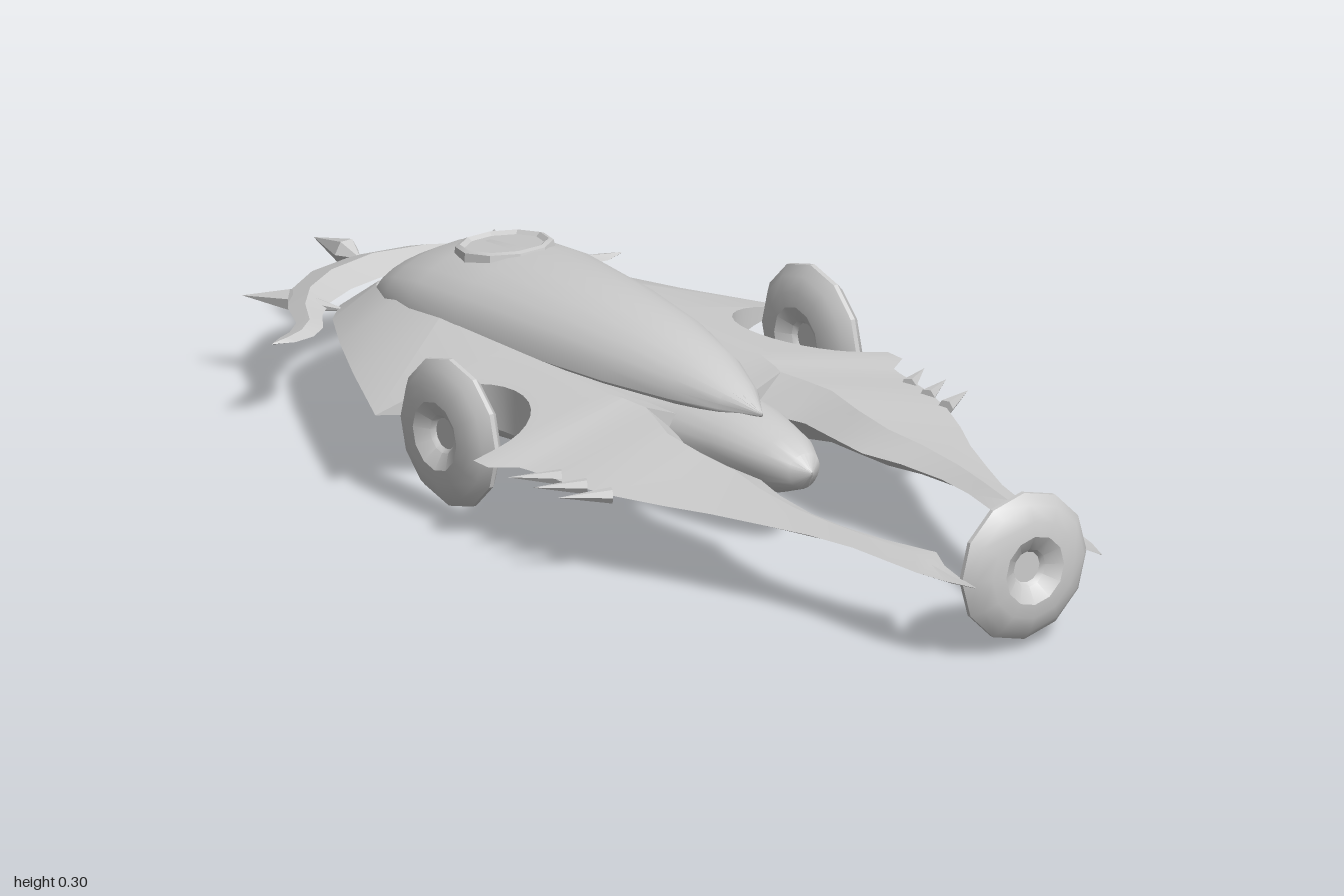
import * as THREE from 'three';
import { toCreasedNormals } from 'three/addons/utils/BufferGeometryUtils.js';

const Y = 0.148; // height of the sharp hull edge
const grey = new THREE.MeshStandardMaterial({ color: 0xcccccc, side: THREE.DoubleSide });

// Skin a row of closed rings, each an array of [x, y, z]
function loft(rings, crease = 0.6) {
  const n = rings[0].length, index = [];
  for (let s = 0; s < rings.length - 1; s++) {
    for (let i = 0; i < n; i++) {
      const j = (i + 1) % n, a = s * n, b = a + n;
      index.push(a + i, b + i, a + j, b + i, b + j, a + j);
    }
  }
  const geo = new THREE.BufferGeometry();
  geo.setAttribute('position', new THREE.Float32BufferAttribute(rings.flat(2), 3));
  geo.setIndex(index);
  return toCreasedNormals(geo, crease);
}

function add(parent, name, geo) {
  const mesh = new THREE.Mesh(geo, grey);
  mesh.name = name;
  parent.add(mesh);
  return mesh;
}

// Oval ring at x: half width, top, bottom and the height of its widest line
function oval(x, hw, top, bottom, mid, n = 24) {
  return Array.from({ length: n }, (_, i) => {
    const a = (i / n) * Math.PI * 2, s = Math.sin(a);
    return [x, mid + s * (s > 0 ? top - mid : mid - bottom), hw * Math.cos(a)];
  });
}

function spike(parent, name, from, to, radius) {
  const a = new THREE.Vector3(...from), b = new THREE.Vector3(...to);
  const dir = b.clone().sub(a);
  const mesh = add(parent, name, toCreasedNormals(new THREE.ConeGeometry(radius, dir.length(), 6), 0.6));
  mesh.position.copy(a).add(b).multiplyScalar(0.5);
  mesh.quaternion.setFromUnitVectors(new THREE.Vector3(0, 1, 0), dir.normalize());
  return mesh;
}

// Half of the flat hull with its forward prong
function wingGeometry() {
  // x, inner z, ridge z, outer z, rise, drop
  const rear = [
    [-0.76, 0, 0, 0.002, 0.005, 0.005], [-0.748, 0, 0.03, 0.08, 0.012, 0.01],
    [-0.715, 0, 0.08, 0.16, 0.025, 0.02], [-0.67, 0, 0.12, 0.21, 0.04, 0.035],
    [-0.57, 0, 0.15, 0.27, 0.055, 0.05], [-0.44, 0, 0.16, 0.34, 0.06, 0.055],
    [-0.26, 0, 0.16, 0.43, 0.06, 0.055],
  ];
  const front = [
    [0.01, 0, 0.16, 0.43, 0.06, 0.055], [0.05, 0, 0.15, 0.43, 0.06, 0.055],
    [0.08, 0, 0.145, 0.39, 0.058, 0.053], [0.1, 0, 0.14, 0.385, 0.056, 0.052],
    [0.1, 0.08, 0.14, 0.385, 0.056, 0.052], [0.15, 0.1, 0.155, 0.378, 0.052, 0.05],
    [0.2, 0.115, 0.17, 0.37, 0.046, 0.045], [0.28, 0.11, 0.165, 0.348, 0.036, 0.04],
    [0.37, 0.105, 0.16, 0.31, 0.03, 0.034], [0.45, 0.125, 0.17, 0.27, 0.024, 0.028],
    [0.55, 0.135, 0.17, 0.23, 0.018, 0.022], [0.63, 0.13, 0.16, 0.2, 0.015, 0.018],
    [0.72, 0.112, 0.145, 0.178, 0.012, 0.014], [0.82, 0.08, 0.125, 0.17, 0.01, 0.012],
    [0.88, 0.108, 0.135, 0.165, 0.008, 0.01], [0.94, 0.122, 0.138, 0.152, 0.006, 0.007],
    [0.995, 0.13, 0.131, 0.132, 0.001, 0.001],
  ];
  // Round bay around the side wheel
  const bay = Array.from({ length: 17 }, (_, i) => {
    const a = (i / 16) * Math.PI;
    return [-0.125 - 0.135 * Math.cos(a), 0, 0.16, 0.43, 0.06, 0.055, 0.38 - 0.138 * Math.sin(a)];
  });
  return loft([...rear, ...bay, ...front].map(([x, a, m, edge, up, down, cut = edge]) => {
    const k = (edge - cut) / (edge - m);
    return [[x, Y + up * k, cut], [x, Y + up, m], [x, Y, a], [x, Y - down, m], [x, Y - down * k, cut]];
  }));
}

// Rear crescent, a thin lens bent around the stern
function crescentGeometry() {
  // outer x, z, inner x, z, half thickness
  const half = [
    [-0.89, 0, -0.785, 0, 0.02], [-0.872, 0.1, -0.765, 0.1, 0.019],
    [-0.82, 0.185, -0.735, 0.165, 0.017], [-0.755, 0.238, -0.695, 0.212, 0.014],
    [-0.69, 0.27, -0.645, 0.248, 0.011], [-0.662, 0.305, -0.622, 0.285, 0.008],
    [-0.65, 0.335, -0.618, 0.325, 0.005], [-0.635, 0.362, -0.633, 0.362, 0.001],
  ];
  const mirrored = half.slice(1).reverse().map(([a, b, c, d, t]) => [a, -b, c, -d, t]);
  return loft([...mirrored, ...half].map(([ox, oz, ix, iz, t]) => {
    const mx = (ox + ix) / 2, mz = (oz + iz) / 2;
    return [[ox, Y, oz], [mx, Y + t, mz], [ix, Y, iz], [mx, Y - t, mz]];
  }), 0.5);
}

// Wheel with a dished hub on both faces, axis along y
function wheelGeometry() {
  const side = [[0, 0.01], [0.027, 0.01], [0.033, 0.018], [0.06, 0.034], [0.085, 0.031], [0.112, 0.02], [0.129, 0.004]];
  const profile = [...side.map(([r, h]) => [r, -h]), ...side.slice().reverse()];
  return toCreasedNormals(new THREE.LatheGeometry(profile.map(p => new THREE.Vector2(...p)), 12), 0.5);
}

export function createModel() {
  const model = new THREE.Group();
  model.name = 'hoverCraft';

  // Keel and nose: x, half width, top, bottom, widest height
  add(model, 'fuselage', loft([
    [-0.755, 0.01, 0.16, 0.14, 0.15], [-0.72, 0.09, 0.18, 0.125, 0.148], [-0.67, 0.14, 0.2, 0.1, 0.142],
    [-0.62, 0.165, 0.207, 0.065, 0.135], [-0.56, 0.18, 0.21, 0.032, 0.127], [-0.4, 0.2, 0.213, 0.008, 0.12],
    [-0.3, 0.2, 0.215, 0, 0.12], [-0.1, 0.175, 0.215, 0.015, 0.125], [0, 0.14, 0.21, 0.028, 0.13],
    [0.1, 0.095, 0.207, 0.045, 0.14], [0.2, 0.082, 0.2, 0.06, 0.145], [0.3, 0.058, 0.183, 0.083, 0.142],
    [0.35, 0.032, 0.165, 0.103, 0.138], [0.372, 0.001, 0.138, 0.134, 0.136],
  ].map(r => oval(...r))));

  // Teardrop canopy
  add(model, 'canopy', loft([
    [-0.74, 0.02, 0.167, 0.15, 0.155], [-0.71, 0.09, 0.193, 0.15, 0.16], [-0.66, 0.13, 0.23, 0.16, 0.175],
    [-0.6, 0.155, 0.262, 0.17, 0.19], [-0.52, 0.165, 0.285, 0.18, 0.2], [-0.4, 0.163, 0.3, 0.18, 0.2],
    [-0.2, 0.14, 0.299, 0.18, 0.2], [-0.05, 0.115, 0.288, 0.18, 0.2], [0.08, 0.08, 0.265, 0.18, 0.2],
    [0.17, 0.043, 0.234, 0.18, 0.2], [0.235, 0.001, 0.202, 0.196, 0.198],
  ].map(r => oval(...r))));

  // Hatch near the back of the canopy
  const hatch = add(model, 'hatch', toCreasedNormals(new THREE.LatheGeometry(
    [[0.085, -0.02], [0.082, 0.001], [0.074, 0.004], [0.066, -0.002], [0, -0.002]].map(p => new THREE.Vector2(...p)), 10), 0.3));
  hatch.position.set(-0.475, 0.292, 0);
  hatch.rotation.z = 0.12;

  add(model, 'rearCrescent', crescentGeometry());
  spike(model, 'tailSpike', [-0.91, Y, 0], [-1, Y, 0], 0.024);
  spike(model, 'tailSpikeBase', [-0.91, Y, 0], [-0.87, Y, 0], 0.024);

  const wing = wingGeometry(), wheel = wheelGeometry();

  // Paired parts
  for (const side of [1, -1]) {
    const half = new THREE.Group();
    half.name = side > 0 ? 'leftHalf' : 'rightHalf';
    half.scale.z = side;
    model.add(half);

    add(half, 'wing', wing);
    const sideWheel = add(half, 'sideWheel', wheel);
    sideWheel.rotation.x = Math.PI / 2;
    sideWheel.position.set(-0.125, 0.146, 0.375);

    for (let i = 0; i < 3; i++) {
      spike(half, 'wingSpine', [0.16 + i * 0.06, Y, 0.36 - i * 0.007], [0.108 + i * 0.064, Y, 0.432 - i * 0.003], 0.014);
    }
    spike(half, 'crescentSpike', [-0.785, Y, 0.21], [-0.85, Y, 0.262], 0.02);
    spike(half, 'crescentStrut', [-0.74, Y, 0.19], [-0.685, Y, 0.165], 0.012);

    // Exhaust under the stern
    const nozzle = add(half, 'nozzle', toCreasedNormals(new THREE.LatheGeometry(
      [[0.036, 0], [0.036, 0.06], [0.026, 0.06], [0.02, 0.045], [0, 0.045]].map(p => new THREE.Vector2(...p)), 12), 0.6));
    nozzle.position.set(-0.585, 0.1, 0.05);
    nozzle.rotation.z = 2.5;
  }

  // Wheel held between the prongs
  const frontWheel = add(model, 'frontWheel', wheel);
  frontWheel.rotation.z = Math.PI / 2;
  frontWheel.position.set(0.952, 0.146, 0);

  return model;
}
